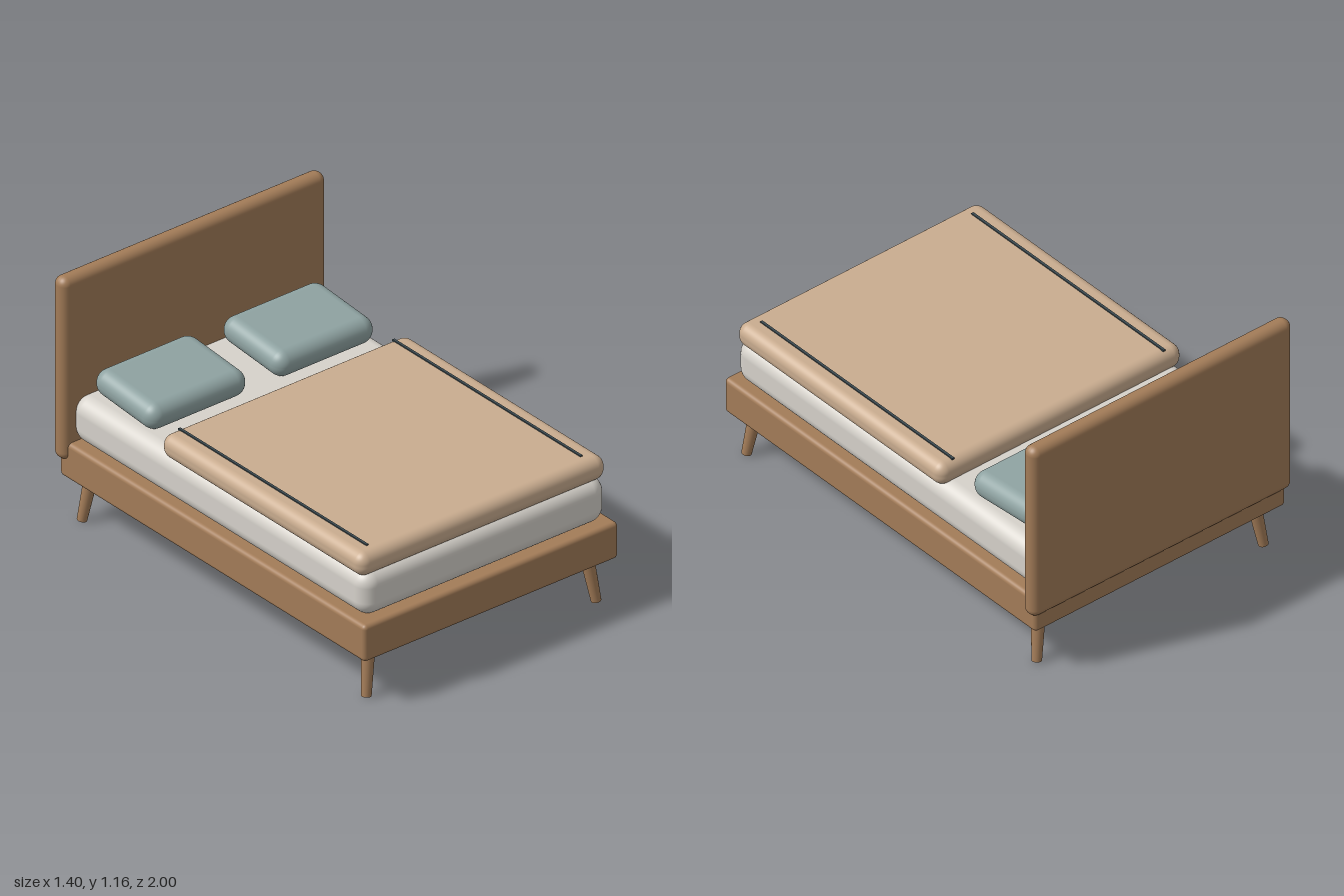
import * as THREE from 'three';
import { RoundedBoxGeometry } from 'three/addons/geometries/RoundedBoxGeometry.js';

const material = (name, color) => {
  const m = new THREE.MeshStandardMaterial({ color });
  m.name = name;
  return m;
};

export function createModel() {
  const wood = material('wood', 0xa37c58);
  const linen = material('mattress linen', 0xd6d2cb);
  const blanketCloth = material('blanket cloth', 0xc9ac8f);
  const pillowCloth = material('pillow cloth', 0x8fa3a2);
  const trim = material('dark trim', 0x3c4a50);

  const bed = new THREE.Group();
  bed.name = 'bed';

  // Add a soft-edged box from its [min, max] extents
  const softBox = (name, mat, [x0, x1], [y0, y1], [z0, z1], radius) => {
    const geo = new RoundedBoxGeometry(x1 - x0, y1 - y0, z1 - z0, 5, radius);
    const mesh = new THREE.Mesh(geo, mat);
    mesh.name = name;
    mesh.position.set((x0 + x1) / 2, (y0 + y1) / 2, (z0 + z1) / 2);
    bed.add(mesh);
    return mesh;
  };

  softBox('bedFrame', wood, [-0.675, 0.675], [0.212, 0.385], [-0.98, 1], 0.02);
  softBox('headboard', wood, [-0.7, 0.7], [0.3, 1.165], [-1, -0.92], 0.037);
  softBox('mattress', linen, [-0.647, 0.647], [0.383, 0.595], [-0.95, 0.97], 0.07);
  softBox('blanket', blanketCloth, [-0.655, 0.655], [0.575, 0.685], [-0.355, 0.955], 0.048);

  // Tapered leg running from a point inside the frame to its splayed foot
  const addLeg = (name, top, foot) => {
    const axis = top.clone().sub(foot);
    const leg = new THREE.Mesh(new THREE.CylinderGeometry(0.031, 0.022, axis.length(), 24), wood);
    leg.name = name;
    leg.position.copy(top).add(foot).multiplyScalar(0.5);
    leg.quaternion.setFromUnitVectors(new THREE.Vector3(0, 1, 0), axis.normalize());
    bed.add(leg);
  };

  for (const [side, s] of [['left', 1], ['right', -1]]) {
    addLeg(side + 'FrontLeg', new THREE.Vector3(s * 0.578, 0.23, 0.905), new THREE.Vector3(s * 0.61, 0.004, 0.932));
    addLeg(side + 'BackLeg', new THREE.Vector3(s * 0.578, 0.23, -0.885), new THREE.Vector3(s * 0.61, 0.004, -0.912));

    // Pillow, raised slightly towards the headboard
    const pillow = softBox(side + 'Pillow', pillowCloth,
      [s * 0.338 - 0.263, s * 0.338 + 0.263], [0.606, 0.73], [-0.868, -0.468], 0.06);
    pillow.rotation.x = 0.08;

    // Thin stitched stripe along the blanket edge
    const stripe = new THREE.Mesh(new THREE.BoxGeometry(0.012, 0.008, 1.22), trim);
    stripe.name = side + 'BlanketStripe';
    stripe.position.set(s * 0.568, 0.686, 0.278);
    bed.add(stripe);
  }

  return bed;
}
